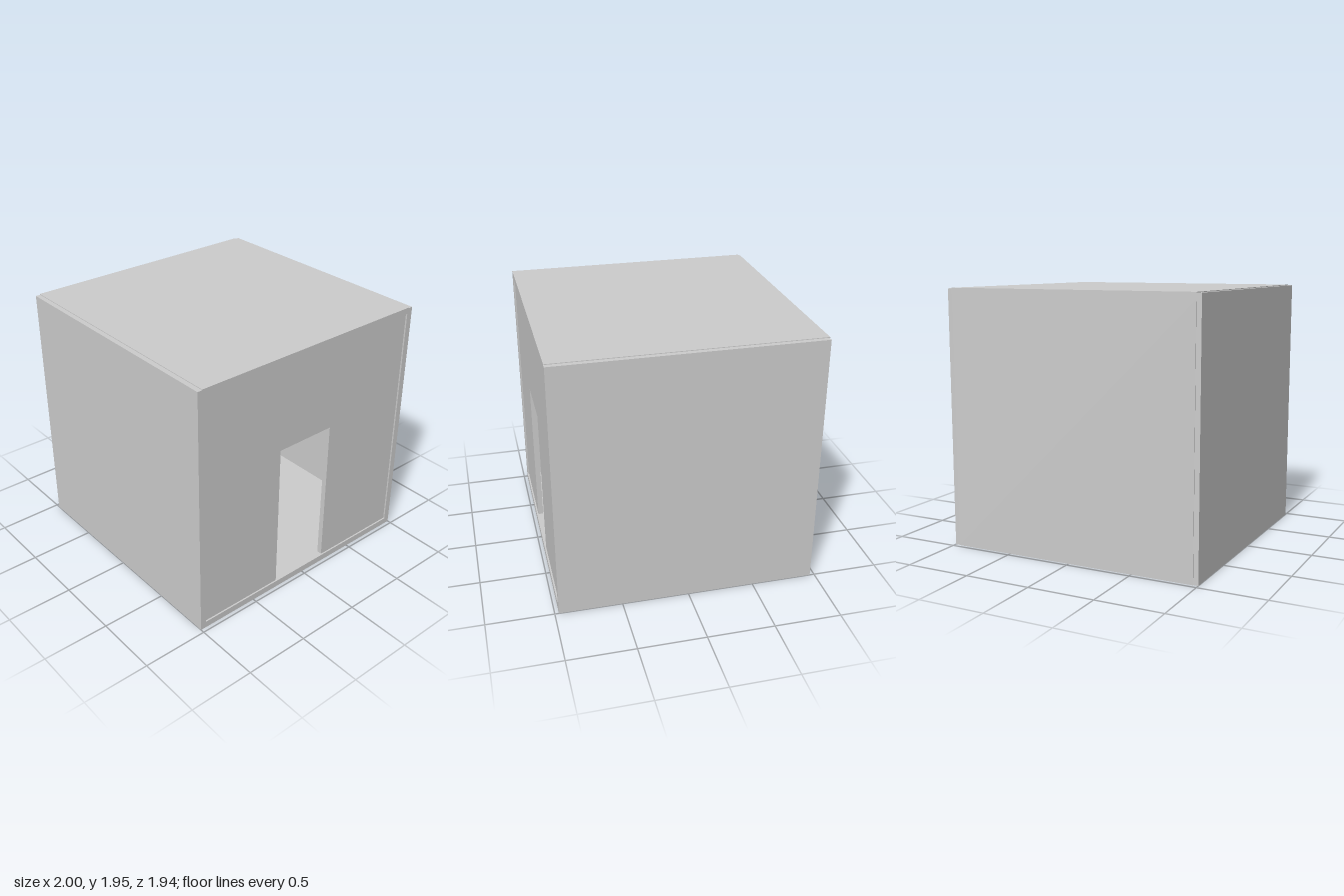
import * as THREE from 'three';

const X = 1, TOP = 1.945, Z = 0.97;   // outer half width, height, half depth
const T = 0.047;                      // panel thickness
const STEP = 0.005;                   // small step where panels meet

export function createModel() {
  const room = new THREE.Group();
  room.name = 'room';
  const material = new THREE.MeshStandardMaterial({ color: 0xcccccc, flatShading: true });

  const add = (name, geometry) => {
    const mesh = new THREE.Mesh(geometry, material);
    mesh.name = name;
    room.add(mesh);
    return mesh;
  };
  // Box given by its minimum and maximum corners
  const slab = (name, [x0, y0, z0], [x1, y1, z1]) =>
    add(name, new THREE.BoxGeometry(x1 - x0, y1 - y0, z1 - z0))
      .position.set((x0 + x1) / 2, (y0 + y1) / 2, (z0 + z1) / 2);

  const inner = X - T, roofEdge = X - 0.037;

  // Floor, and side walls that stop just short of the roof and back
  slab('floor', [-inner, 0, -Z + T], [inner, 0.05, Z]);
  slab('leftWall', [inner, 0, -Z + STEP], [X, TOP - STEP, Z]);
  slab('rightWall', [-X, 0, -Z + STEP], [-inner, TOP - STEP, Z]);

  // Roof and back wall, standing slightly proud between the side walls
  slab('roof', [-roofEdge, TOP - T, -Z], [roofEdge, TOP, Z]);
  slab('backWall', [-roofEdge, 0, -Z], [roofEdge, TOP - T, -Z + T]);

  // Front wall with a doorway down to the floor, set back slightly
  const wall = new THREE.Shape();
  [[-inner, 0.05], [-0.265, 0.05], [-0.265, 1.21], [0.22, 1.21], [0.22, 0.05],
    [inner, 0.05], [inner, TOP - T], [-inner, TOP - T]]
    .forEach(([x, y], i) => (i ? wall.lineTo(x, y) : wall.moveTo(x, y)));
  wall.closePath();
  const depth = 0.04;
  add('frontWall', new THREE.ExtrudeGeometry(wall, { depth, bevelEnabled: false }))
    .position.z = Z - 0.012 - depth;

  return room;
}
